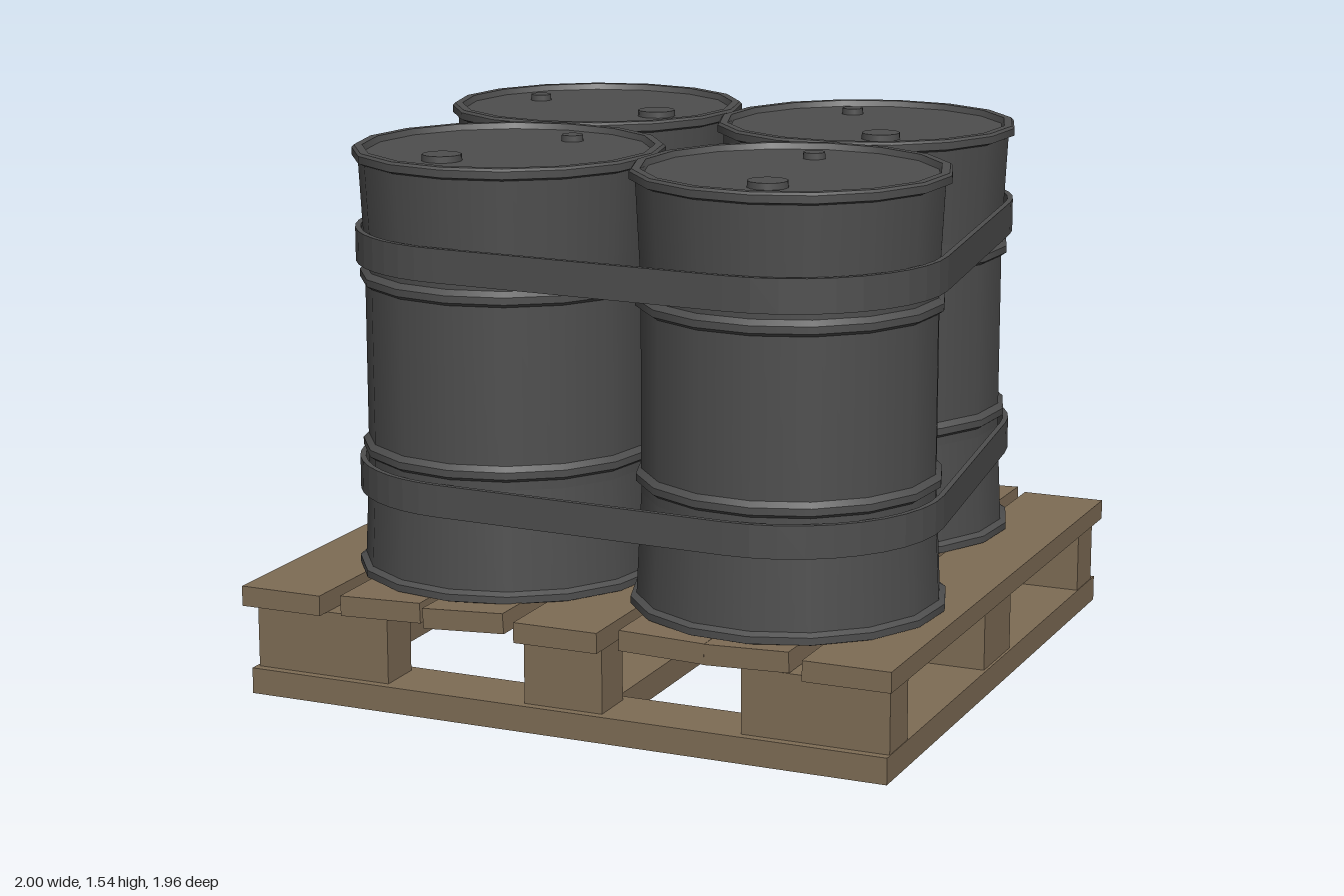
import * as THREE from 'three';
import { mergeGeometries } from 'three/addons/utils/BufferGeometryUtils.js';

const steel = new THREE.MeshStandardMaterial({ color: 0x4e4e4e });
steel.name = 'dark steel';
const wood = new THREE.MeshStandardMaterial({ color: 0x7e6c55, side: THREE.DoubleSide });
wood.name = 'pallet wood';

function add(parent, name, geometry, material, x = 0, y = 0, z = 0) {
  const mesh = new THREE.Mesh(geometry, material);
  mesh.name = name;
  mesh.position.set(x, y, z);
  parent.add(mesh);
  return mesh;
}

// Lathe with a sharp edge at every profile point, smooth around the axis
function sharpLathe(profile, sides) {
  const bands = [];
  for (let i = 0; i < profile.length - 1; i++) {
    const pair = [profile[i], profile[i + 1]].map(([r, y]) => new THREE.Vector2(r, y));
    bands.push(new THREE.LatheGeometry(pair, sides));
  }
  return mergeGeometries(bands);
}

// Box from x, y, z ranges; openBottom leaves out the underside
function plank(parent, name, [x0, x1], [y0, y1], [z0, z1], openBottom = false) {
  const g = new THREE.BoxGeometry(x1 - x0, y1 - y0, z1 - z0);
  if (openBottom) {
    const index = Array.from(g.index.array);
    index.splice(18, 6);
    g.setIndex(index);
    g.clearGroups();
  }
  return add(parent, name, g, wood, (x0 + x1) / 2, (y0 + y1) / 2, (z0 + z1) / 2);
}

function makePallet() {
  const pallet = new THREE.Group();
  pallet.name = 'pallet';
  pallet.rotation.y = -0.027;

  // Bottom frame
  const low = [0, 0.075];
  for (const s of [-1, 1]) {
    const edge = (outer, inner) => (s < 0 ? [-outer, -inner] : [inner, outer]);
    plank(pallet, 'bottomEndBoard', [-0.96, 0.96], low, edge(0.925, 0.735), true);
    plank(pallet, 'bottomSideBoard', edge(0.96, 0.78), low, [-0.735, 0.735], true);
  }
  plank(pallet, 'bottomMiddleBoard', [-0.1, 0.1], low, [-0.735, 0.735], true);

  // Spacer blocks
  const mid = [0.075, 0.262];
  for (const z of [[-0.895, -0.755], [0.765, 0.9]]) {
    plank(pallet, 'cornerBlock', [-0.95, -0.535], mid, z);
    plank(pallet, 'middleBlock', [-0.11, 0.125], mid, z);
    plank(pallet, 'cornerBlock', [0.535, 0.958], mid, z);
  }
  plank(pallet, 'sideBlock', [-0.945, -0.775], mid, [-0.115, 0.115]);
  plank(pallet, 'centreBlock', [-0.1, 0.1], mid, [-0.1, 0.1]);
  plank(pallet, 'sideBlock', [0.775, 0.952], mid, [-0.115, 0.115]);

  // Deck boards: centre x, back end, front end, skew, roll
  const deck = [
    [-0.85, -0.927, 0.943, 0, 0], [-0.565, -0.965, 0.905, 0.012, 0.03],
    [-0.285, -0.93, 0.91, -0.008, 0.06], [0.008, -0.968, 0.95, 0, 0],
    [0.3, -0.925, 0.91, 0.006, -0.03], [0.56, -0.967, 0.91, -0.01, 0.04],
    [0.853, -0.93, 0.95, 0, 0],
  ];
  for (const [x, z0, z1, skew, roll] of deck) {
    const board = plank(pallet, 'deckBoard', [x - 0.125, x + 0.125], [0.262, 0.32], [z0, z1]);
    board.rotation.set(0, skew, roll);
  }
  return pallet;
}

// Drum positions (x, z) counter-clockwise from above, and the angle of the lid plugs
const drums = [
  [-0.498, -0.457, 0.37], [-0.393, 0.405, 1.96], [0.477, 0.463, 1.47], [0.387, -0.41, 1.07],
];

const drumGeometry = sharpLathe([
  [0, 0.32], [0.428, 0.32], [0.442, 0.325], [0.442, 0.345], [0.425, 0.355],
  [0.411, 0.64], [0.411, 0.665], [0.426, 0.675], [0.426, 0.695], [0.411, 0.71],
  [0.411, 1.155], [0.426, 1.165], [0.426, 1.185], [0.411, 1.2], [0.411, 1.23],
  [0.425, 1.505], [0.442, 1.512], [0.442, 1.533], [0.435, 1.54], [0.412, 1.54],
  [0.405, 1.523], [0, 1.523],
], 16);

function makeDrum([x, z, angle]) {
  const drum = new THREE.Group();
  drum.name = 'drum';
  add(drum, 'drumBody', drumGeometry, steel);
  add(drum, 'largePlug', new THREE.CylinderGeometry(0.055, 0.057, 0.024, 14), steel, 0.25, 1.529, 0);
  add(drum, 'smallPlug', new THREE.CylinderGeometry(0.031, 0.033, 0.024, 12), steel, -0.247, 1.529, 0);
  drum.position.set(x, 0, z);
  drum.rotation.y = -angle;
  return drum;
}

// Taut loop around all drums at a given radius from their centres
function loop(path, radius) {
  const pts = drums.map(([x, z]) => [x, -z]);
  const n = pts.length;
  const normal = (a, b) => Math.atan2(-(b[0] - a[0]), b[1] - a[1]);
  pts.forEach((p, i) => {
    const start = normal(pts[(i + n - 1) % n], p);
    const end = normal(p, pts[(i + 1) % n]);
    path.absarc(p[0], p[1], radius, start, end, false);
  });
  path.closePath();
  return path;
}

function makeStrap(y0, y1) {
  const shape = loop(new THREE.Shape(), 0.435);
  shape.holes.push(loop(new THREE.Path(), 0.419));
  const g = new THREE.ExtrudeGeometry(shape, { depth: y1 - y0, bevelEnabled: false, curveSegments: 5 });
  g.rotateX(-Math.PI / 2);
  return g;
}

export function createModel() {
  const model = new THREE.Group();
  model.name = 'drumsOnPallet';
  model.add(makePallet());
  drums.forEach((d) => model.add(makeDrum(d)));
  add(model, 'lowerStrap', makeStrap(0.56, 0.652), steel, 0, 0.56, 0);
  add(model, 'upperStrap', makeStrap(1.22, 1.315), steel, 0, 1.22, 0);
  return model;
}
